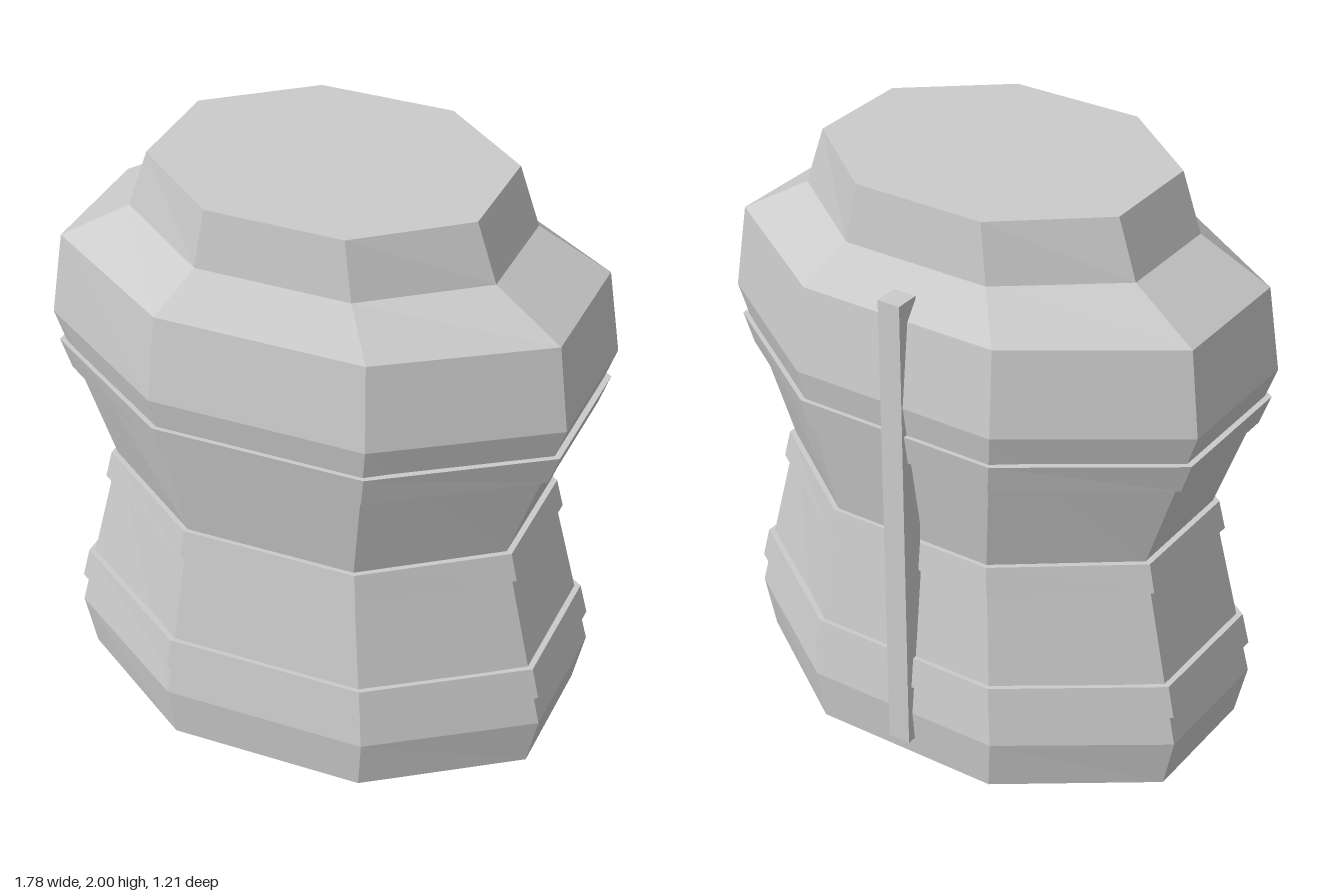
import * as THREE from 'three';

const CENTER_Z = 0.006;

// Octagonal cross-section: hx/hz are half extents, cx/cz the half lengths of the flat sides
function octagon([y, hx, cx, hz, cz]) {
  return [[hx, cz], [cx, hz], [-cx, hz], [-hx, cz], [-hx, -cz], [-cx, -hz], [cx, -hz], [hx, -cz]]
    .map(([x, z]) => [x, y, z + CENTER_Z]);
}

// Skin a list of sections; outside faces outward when the sections run upward
function loft(sections) {
  const positions = [];
  const rings = sections.map(octagon);
  for (let i = 0; i < rings.length - 1; i++) {
    for (let j = 0; j < 8; j++) {
      const k = (j + 1) % 8;
      const a = rings[i][j], b = rings[i][k], c = rings[i + 1][k], d = rings[i + 1][j];
      positions.push(...a, ...c, ...b, ...a, ...d, ...c);
    }
  }
  const geometry = new THREE.BufferGeometry();
  geometry.setAttribute('position', new THREE.Float32BufferAttribute(positions, 3));
  geometry.computeVertexNormals();
  return geometry;
}

// Outer profile: y, hx, cx, hz, cz
const PROFILE = [
  [0, 0.81, 0.337, 0.57, 0.238],
  [0.18, 0.85, 0.353, 0.588, 0.246],
  [0.83, 0.70, 0.292, 0.512, 0.213],
  [1.37, 0.888, 0.366, 0.604, 0.252],
  [1.66, 0.85, 0.352, 0.57, 0.238],
  [1.80, 0.62, 0.26, 0.465, 0.193],
  [2, 0.553, 0.23, 0.447, 0.188],
];

// Interpolated profile section, enlarged by grow
function sectionAt(y, grow) {
  const i = Math.max(1, PROFILE.findIndex((s) => s[0] >= y));
  const a = PROFILE[i - 1], b = PROFILE[i];
  const t = (y - a[0]) / (b[0] - a[0]);
  const s = a.map((v, n) => v + (b[n] - v) * t);
  return [y, s[1] + grow, s[2] + grow * 0.4, s[3] + grow * 0.75, s[4] + grow * 0.4];
}

export function createModel() {
  const model = new THREE.Group();
  const material = new THREE.MeshStandardMaterial({ color: 0xcccccc, flatShading: true });
  const add = (name, geometry) => {
    const mesh = new THREE.Mesh(geometry, material);
    mesh.name = name;
    model.add(mesh);
    return mesh;
  };

  // Body with a hollow underside and a flat top
  add('body', loft([
    [0.4, 0, 0, 0, 0],
    [0.4, 0.785, 0.327, 0.555, 0.232],
    ...PROFILE,
    [2, 0, 0, 0, 0],
  ]));

  // Raised bands around the body
  const bands = [
    ['lowerBand', 0.29, 0.40],
    ['waistBand', 0.73, 0.83],
    ['chestBand', 1.16, 1.265],
  ];
  for (const [name, y0, y1] of bands) {
    add(name, loft([
      sectionAt(y0, -0.02), sectionAt(y0, 0.02), sectionAt(y1, 0.02), sectionAt(y1, -0.02),
    ]));
  }

  // Upright strip down the back
  add('backStrip', new THREE.BoxGeometry(0.08, 1.66, 0.085)).position.set(-0.004, 0.9, -0.562);

  return model;
}
